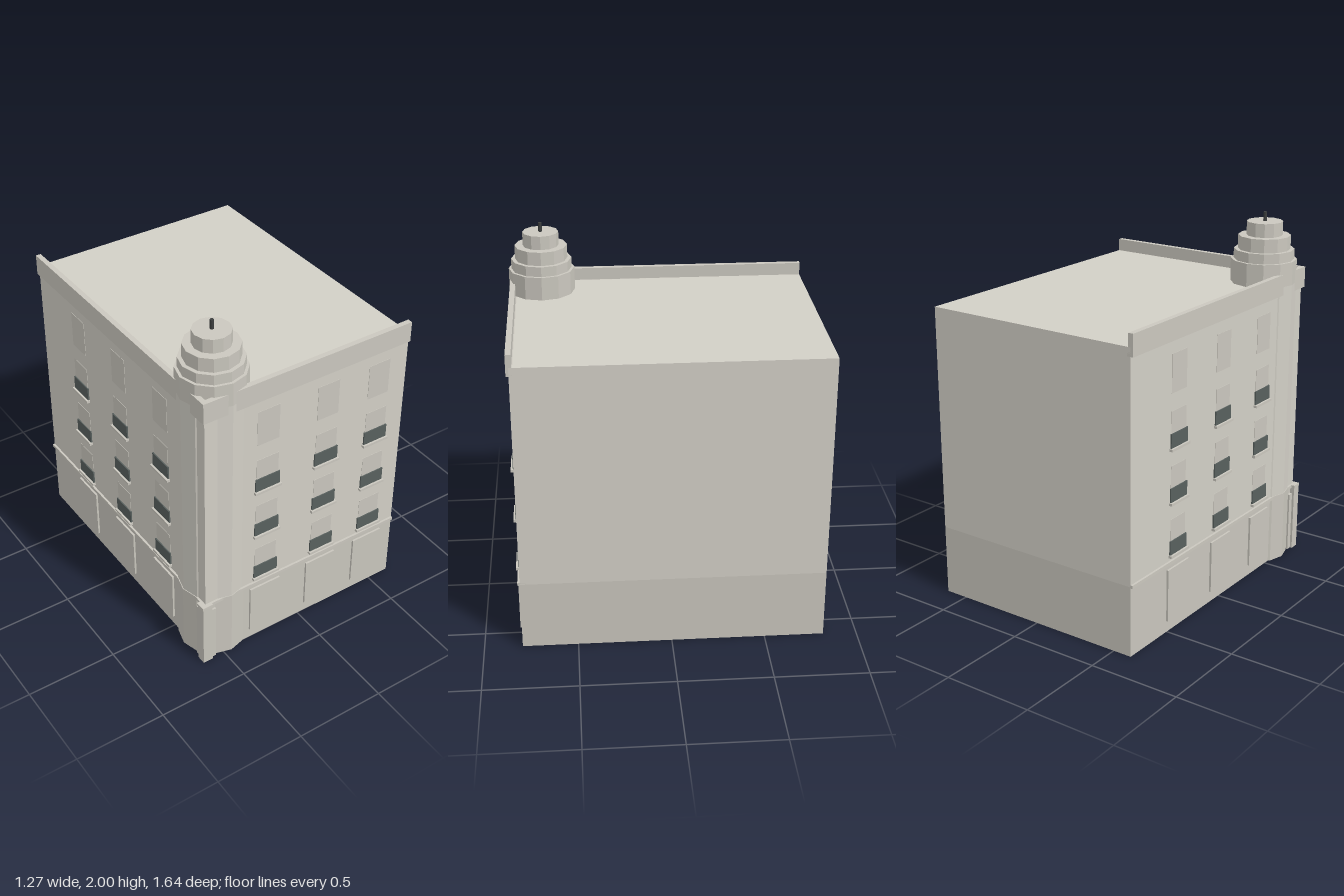
import * as THREE from 'three';

const mat = (color) => new THREE.MeshStandardMaterial({ color, flatShading: true });
const stone = mat(0xd2cfc6);
const baseStone = mat(0xc8c5bc);
const trim = mat(0xcac7be);
const paleGlass = mat(0xc9c6bd);
const darkGlass = mat(0x58605e);
const metal = mat(0x3c3e3e);

// Box given by its extents on each axis
function block(parent, name, [x0, x1], [y0, y1], [z0, z1], material) {
  const mesh = new THREE.Mesh(new THREE.BoxGeometry(x1 - x0, y1 - y0, z1 - z0), material);
  mesh.position.set((x0 + x1) / 2, (y0 + y1) / 2, (z0 + z1) / 2);
  mesh.name = name;
  parent.add(mesh);
}

// Street side in local space: wall plane at z = d, running from x = a to x = b
function facade(name, a, b, d, columns) {
  const g = new THREE.Group();
  g.name = name;
  block(g, 'stringCourse', [a, b], [0.38, 0.397], [d - 0.03, d + 0.012], trim);
  block(g, 'cornice', [a, b], [1.57, 1.617], [d - 0.02, d + 0.014], trim);
  block(g, 'parapet', [a, b], [1.617, 1.685], [d - 0.015, d + 0.014], trim);
  for (const x of columns) {
    block(g, 'shopPanel', [x - 0.095, x + 0.095], [0.063, 0.353], [d - 0.01, d + 0.011], baseStone);
    // Three floors with a sill, a dark lower sash and a pale upper sash
    for (const y of [0.415, 0.705, 0.997]) {
      block(g, 'sill', [x - 0.08, x + 0.08], [y, y + 0.014], [d - 0.01, d + 0.019], trim);
      block(g, 'lowerSash', [x - 0.073, x + 0.073], [y + 0.014, y + 0.09], [d - 0.01, d + 0.008], darkGlass);
      block(g, 'upperSash', [x - 0.066, x + 0.066], [y + 0.09, y + 0.208], [d - 0.01, d + 0.002], paleGlass);
    }
    block(g, 'topWindow', [x - 0.066, x + 0.066], [1.297, 1.5], [d - 0.01, d + 0.002], paleGlass);
  }
  return g;
}

export function createModel() {
  const model = new THREE.Group();
  model.name = 'cornerBuilding';

  // Main volume
  block(model, 'groundFloor', [-0.605, 0.63], [0, 0.385], [-0.82, 0.797], baseStone);
  block(model, 'upperFloors', [-0.605, 0.63], [0.385, 1.617], [-0.82, 0.797], stone);

  // Two street facades
  model.add(facade('frontFacade', -0.619, 0.63, 0.797, [-0.232, 0.132, 0.453]));
  const side = facade('sideFacade', -0.82, 0.811, 0.605, [-0.41, 0, 0.4]);
  side.rotation.y = -Math.PI / 2;
  model.add(side);

  // Corner pier with a door jamb on either side
  block(model, 'cornerPier', [-0.632, -0.575], [0, 0.385], [0.767, 0.82], baseStone);
  block(model, 'pierCap', [-0.635, -0.572], [0.38, 0.397], [0.764, 0.82], trim);
  block(model, 'frontJamb', [-0.575, -0.545], [0, 0.345], [0.78, 0.808], baseStone);
  block(model, 'sideJamb', [-0.62, -0.59], [0, 0.345], [0.737, 0.767], baseStone);

  // Twelve-sided corner turret: base, shaft, stepped crown and pole
  const turret = new THREE.Group();
  turret.name = 'cornerTurret';
  turret.position.set(-0.455, 0, 0.637);
  const tiers = [
    ['turretBase', 0.184, 0, 0.397, baseStone],
    ['turretShaft', 0.18, 0.397, 1.617, stone],
    ['crownTier', 0.18, 1.617, 1.745, trim],
    ['crownTier', 0.165, 1.745, 1.8, trim],
    ['crownTier', 0.143, 1.8, 1.875, trim],
    ['crownTier', 0.098, 1.875, 1.95, trim],
    ['pole', 0.01, 1.95, 2, metal],
  ];
  for (const [name, r, y0, y1, material] of tiers) {
    const tier = new THREE.Mesh(new THREE.CylinderGeometry(r, r, y1 - y0, 12), material);
    tier.position.y = (y0 + y1) / 2;
    tier.name = name;
    turret.add(tier);
  }
  model.add(turret);

  return model;
}
